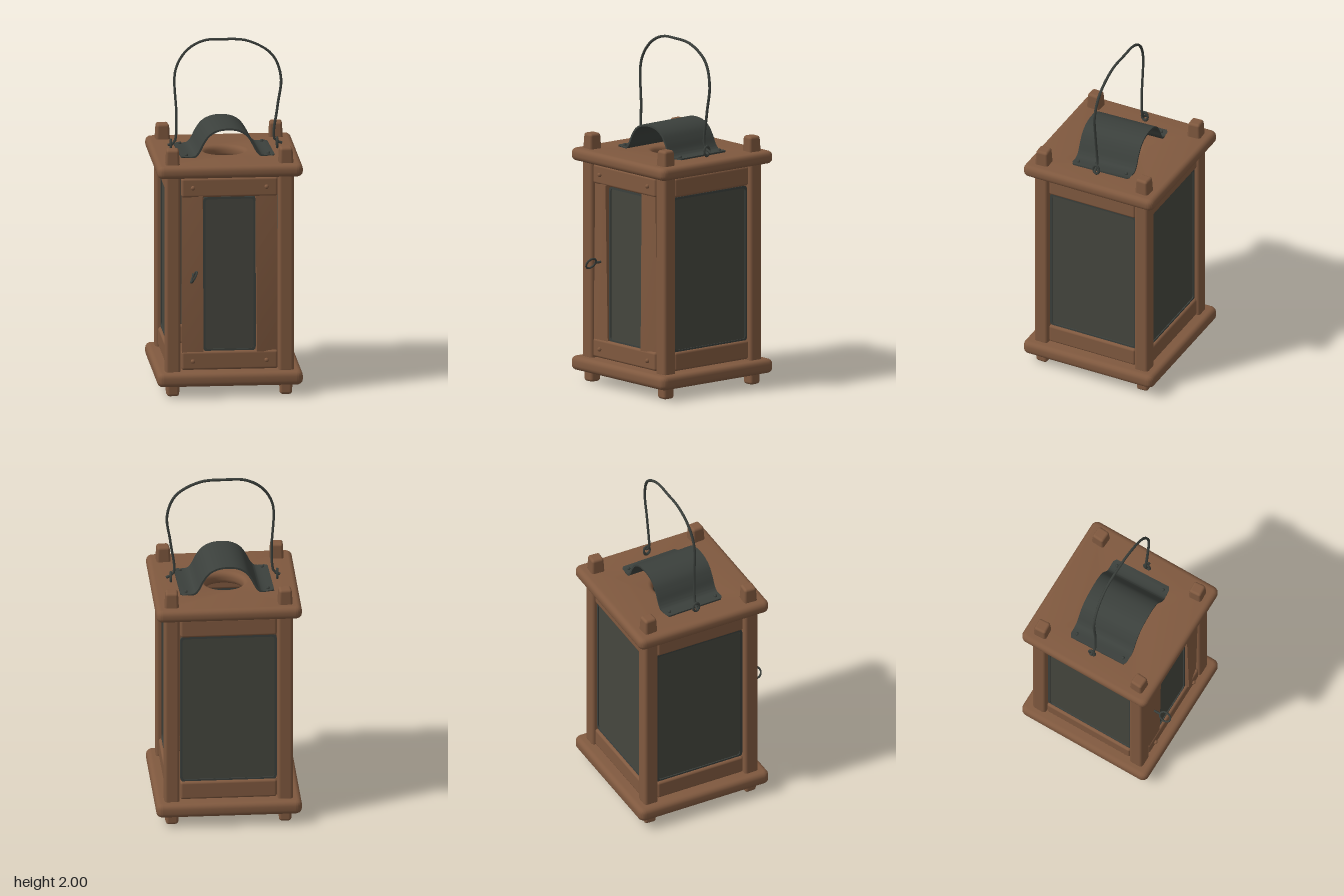
import * as THREE from 'three';
import { toCreasedNormals } from 'three/addons/utils/BufferGeometryUtils.js';
import { RoundedBoxGeometry } from 'three/addons/geometries/RoundedBoxGeometry.js';

const ZC = -0.025; // centre of the wooden body; the ring pull sticks out in front

export function createModel() {
  const model = new THREE.Group();
  model.name = 'lantern';
  const material = (name, color) => {
    const m = new THREE.MeshStandardMaterial({ color, side: THREE.DoubleSide });
    m.name = name;
    return m;
  };
  const wood = material('brown wood', 0x80593f);
  const iron = material('dark iron', 0x3b403c);
  const pane = material('smoky pane', 0x45463e);

  const add = (name, geometry, mat, x = 0, y = 0, z = 0, parent = model) => {
    const mesh = new THREE.Mesh(geometry, mat);
    mesh.name = name;
    mesh.position.set(x, y, z);
    parent.add(mesh);
    return mesh;
  };

  // Soft-edged timber, optionally narrowed toward its top
  const timber = (w, h, d, r, taper = 1) => {
    const g = new RoundedBoxGeometry(w, h, d, 3, r);
    const p = g.attributes.position;
    for (let i = 0; i < p.count; i++) {
      const s = THREE.MathUtils.lerp(1, taper, p.getY(i) / h + 0.5);
      p.setX(i, p.getX(i) * s);
      p.setZ(i, p.getZ(i) * s);
    }
    return g;
  };

  const roundedRect = (Type, w, h, r) => {
    const s = new Type(), x = w / 2, y = h / 2;
    s.moveTo(-x + r, -y);
    s.lineTo(x - r, -y).quadraticCurveTo(x, -y, x, -y + r);
    s.lineTo(x, y - r).quadraticCurveTo(x, y, x - r, y);
    s.lineTo(-x + r, y).quadraticCurveTo(-x, y, -x, y - r);
    s.lineTo(-x, -y + r).quadraticCurveTo(-x, -y, -x + r, -y);
    return s;
  };

  // Base and lid boards with rounded edges; the lid has a vent hole
  const board = (name, y0, y1, hole) => {
    const b = 0.028;
    const shape = roundedRect(THREE.Shape, 0.83 - 2 * b, 0.83 - 2 * b, 0.012);
    if (hole) {
      const circle = new THREE.Path();
      circle.absarc(0, 0, hole + b, 0, Math.PI * 2, true);
      shape.holes.push(circle);
    }
    const g = new THREE.ExtrudeGeometry(shape, {
      depth: y1 - y0 - 2 * b, bevelThickness: b, bevelSize: b, bevelSegments: 4, curveSegments: 20,
    });
    g.rotateX(-Math.PI / 2);
    add(name, toCreasedNormals(g, 0.7), wood, 0, y0 + b, ZC);
  };
  board('baseBoard', 0.065, 0.145, 0);
  board('lidBoard', 1.28, 1.352, 0.11);

  // Corner posts with pegs through both boards
  for (const sx of [-1, 1]) {
    for (const sz of [-1, 1]) {
      const x = sx * 0.323, z = ZC + sz * 0.32;
      add('cornerPost', timber(0.088, 1.16, 0.086, 0.018), wood, x, 0.71, z);
      const top = add('topPeg', timber(0.084, 0.11, 0.084, 0.016, 0.84), wood, x, 1.385, z);
      top.rotation.y = sx * sz * 0.06;
      const foot = add('foot', timber(0.07, 0.1, 0.07, 0.016, 1.1), wood, x, 0.05, z);
      foot.rotation.y = -sx * sz * 0.06;
    }
  }

  // One wall: two rails and a framed pane, facing +z before it is turned
  const wall = (name, turn, x, z, paneWidth) => {
    const g = new THREE.Group();
    g.name = name;
    g.position.set(x, 0, z);
    g.rotation.y = turn;
    model.add(g);
    add('topRail', timber(0.55, 0.112, 0.05, 0.014), wood, 0, 1.216, -0.025, g);
    add('bottomRail', timber(0.55, 0.108, 0.05, 0.014), wood, 0, 0.207, -0.025, g);
    add('pane', new THREE.BoxGeometry(paneWidth - 0.01, 0.88, 0.008), pane, 0, 0.708, -0.026, g);
    const rim = roundedRect(THREE.Shape, paneWidth, 0.9, 0.025);
    rim.holes.push(roundedRect(THREE.Path, paneWidth - 0.026, 0.874, 0.02));
    add('paneRim', new THREE.ExtrudeGeometry(rim, { depth: 0.014, bevelEnabled: false }), iron, 0, 0.708, -0.03, g);
    return g;
  };
  wall('leftWall', Math.PI / 2, 0.352, ZC, 0.55);
  wall('rightWall', -Math.PI / 2, -0.352, ZC, 0.55);
  wall('backWall', Math.PI, 0, ZC - 0.352, 0.55);
  const door = wall('frontDoor', 0, 0, ZC + 0.358, 0.3);

  // Slightly twisted door stiles
  for (const sx of [-1, 1]) {
    const g = new THREE.BoxGeometry(0.122, 0.91, 0.045, 4, 16, 2);
    const p = g.attributes.position;
    for (let i = 0; i < p.count; i++) {
      const a = 0.1 * sx - 0.22 * (p.getY(i) / 0.91), x = p.getX(i), z = p.getZ(i);
      p.setX(i, x * Math.cos(a) + z * Math.sin(a));
      p.setZ(i, z * Math.cos(a) - x * Math.sin(a));
    }
    add('doorStile', toCreasedNormals(g, 0.6), wood, sx * 0.21, 0.71, -0.028, door);
  }

  // Door nails
  const nailGeo = new THREE.SphereGeometry(0.013, 8, 6);
  for (const x of [-0.21, 0.21]) {
    for (const y of [0.205, 1.217]) add('doorNail', nailGeo, iron, x, y, 0.003, door).material = wood;
  }

  // Ring pull on the door
  const pull = new THREE.Group();
  pull.name = 'ringPull';
  pull.position.set(-0.21, 0.712, 0.4);
  model.add(pull);
  const ring = add('ring', new THREE.TorusGeometry(0.034, 0.006, 6, 12), iron, 0, 0, 0, pull);
  ring.rotation.set(0, Math.PI / 2, -0.5, 'ZYX');
  const pin = add('pin', new THREE.CylinderGeometry(0.007, 0.007, 0.07, 6), iron, 0, 0, -0.066, pull);
  pin.rotation.x = Math.PI / 2;

  // Arched sheet-metal smoke hood with flanges
  const hood = new THREE.Group();
  hood.name = 'hood';
  hood.position.set(0, 1.352, ZC);
  hood.rotation.y = 0.035;
  model.add(hood);
  const half = [[0, 0.166], [0.06, 0.158], [0.11, 0.13], [0.145, 0.082], [0.172, 0.03], [0.195, 0.009], [0.268, 0.009]];
  const upper = new THREE.CatmullRomCurve3([
    ...half.slice(1).reverse().map(([x, y]) => new THREE.Vector3(-x, y, 0)),
    ...half.map(([x, y]) => new THREE.Vector3(x, y, 0)),
  ]).getPoints(48);
  const lower = upper.map((p, i) => {
    const a = upper[Math.max(i - 1, 0)], b = upper[Math.min(i + 1, 48)];
    const l = a.distanceTo(b);
    return new THREE.Vector2(p.x + (b.y - a.y) / l * 0.011, p.y - (b.x - a.x) / l * 0.011);
  });
  const outline = [...upper.map((p) => new THREE.Vector2(p.x, p.y)), ...lower.reverse()];
  const sheet = new THREE.ExtrudeGeometry(new THREE.Shape(outline), { depth: 0.364, bevelEnabled: false });
  sheet.translate(0, 0, -0.182);
  const sp = sheet.attributes.position;
  for (let i = 0; i < sp.count; i++) { // clipped flange corners
    const over = Math.max(0, Math.abs(sp.getX(i)) - 0.25);
    sp.setZ(i, sp.getZ(i) * (1 - over * 4));
  }
  add('hoodSheet', toCreasedNormals(sheet, 0.7), iron, 0, 0, 0, hood);
  for (const sx of [-1, 1]) {
    for (const sz of [-1, 1]) add('hoodNail', nailGeo, iron, sx * 0.235, 0.01, sz * 0.15, hood).scale.setScalar(0.8);
  }

  // Bent wire handle hooked into two eyelets
  const wire = [
    [-0.32, 1.385, -0.03], [-0.285, 1.4, -0.025], [-0.272, 1.55, -0.025], [-0.277, 1.82, -0.03],
    [-0.215, 1.93, -0.04], [-0.12, 1.985, -0.048], [0, 1.992, -0.05], [0.14, 1.98, -0.046],
    [0.275, 1.9, -0.04], [0.325, 1.77, -0.03], [0.305, 1.6, -0.025], [0.288, 1.41, -0.025], [0.33, 1.385, -0.03],
  ].map((p) => new THREE.Vector3(...p));
  const path = new THREE.CatmullRomCurve3(wire, false, 'centripetal');
  add('wireHandle', new THREE.TubeGeometry(path, 64, 0.008, 6), iron);
  for (const x of [-0.303, 0.303]) {
    const eye = add('handleEyelet', new THREE.TorusGeometry(0.019, 0.007, 6, 12), iron, x, 1.388, -0.028);
    eye.rotation.y = Math.PI / 2;
    eye.scale.y = 1.4;
  }
  return model;
}
